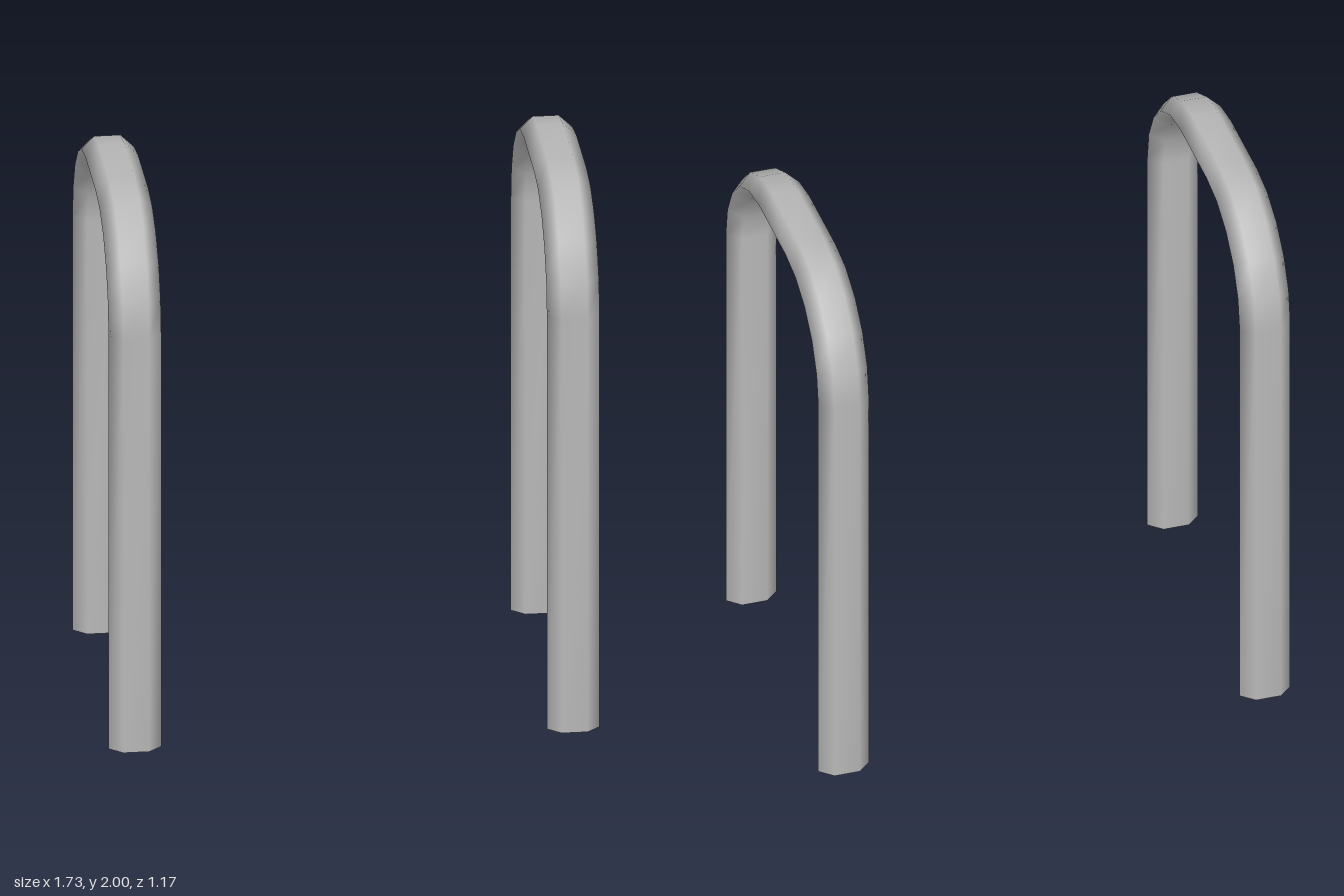
import * as THREE from 'three';

const steel = new THREE.MeshStandardMaterial({ color: 0xb8b8b8 });
steel.name = 'grey steel';

// Flattened hexagonal bar section: [across, outward]
const SECTION = [[0.093, 0], [0.046, 0.043], [-0.046, 0.043], [-0.093, 0], [-0.046, -0.043], [0.046, -0.043]];
const N = SECTION.length;

// Centre line of the hoop as [z, y, bend angle]
function hoopPath() {
  const path = [[0.544, 0, 0]];
  const steps = 5, r = 0.39, z0 = 0.154, y0 = 1.567;
  for (let side = 0; side < 2; side++) {
    for (let i = 0; i <= steps; i++) {
      const a = (side + i / steps) * Math.PI / 2;
      path.push([(side ? -z0 : z0) + r * Math.cos(a), y0 + r * Math.sin(a), a]);
    }
  }
  path.push([-0.544, 0, Math.PI]);
  return path;
}

// Smooth bar swept along the path, with flat end caps
function hoopGeometry() {
  const path = hoopPath();
  const pos = [], index = [];
  const ring = ([z, y, a]) => {
    for (const [u, v] of SECTION) pos.push(u, y + v * Math.sin(a), z + v * Math.cos(a));
  };
  path.forEach(ring);
  for (let i = 0; i < path.length - 1; i++) {
    for (let j = 0; j < N; j++) {
      const a = i * N + j, b = i * N + (j + 1) % N;
      index.push(a, a + N, b, b, a + N, b + N);
    }
  }
  // Caps on the ground
  [path[0], path[path.length - 1]].forEach((p, end) => {
    const base = pos.length / 3;
    ring(p);
    for (let j = 1; j < N - 1; j++) {
      if (end) index.push(base, base + j + 1, base + j);
      else index.push(base, base + j, base + j + 1);
    }
  });
  const g = new THREE.BufferGeometry();
  g.setAttribute('position', new THREE.Float32BufferAttribute(pos, 3));
  g.setIndex(index);
  // Orient every face outwards
  const A = new THREE.Vector3().fromArray(pos, 0);
  const B = new THREE.Vector3().fromArray(pos, index[1] * 3);
  const C = new THREE.Vector3().fromArray(pos, index[2] * 3);
  const normal = B.sub(A).cross(C.sub(A));
  const wallEnd = (path.length - 1) * N * 6;
  if (normal.x < 0) flip(index, 0, wallEnd);
  const capY = (k) => {
    const [a, b, c] = [0, 1, 2].map((n) => new THREE.Vector3().fromArray(pos, index[k + n] * 3));
    return b.sub(a).cross(c.sub(a)).y;
  };
  const capLength = (N - 2) * 3;
  for (let k = wallEnd; k < index.length; k += capLength) {
    if (capY(k) > 0) flip(index, k, k + capLength);
  }
  g.setIndex(index);
  g.computeVertexNormals();
  return g;
}

function flip(index, from, to) {
  for (let k = from; k < to; k += 3) [index[k + 1], index[k + 2]] = [index[k + 2], index[k + 1]];
}

export function createModel() {
  const group = new THREE.Group();
  group.name = 'hoopPair';
  const geometry = hoopGeometry();
  for (const side of [1, -1]) {
    const hoop = new THREE.Mesh(geometry, steel);
    hoop.name = side > 0 ? 'leftHoop' : 'rightHoop';
    hoop.position.x = side * 0.773;
    group.add(hoop);
  }
  return group;
}
